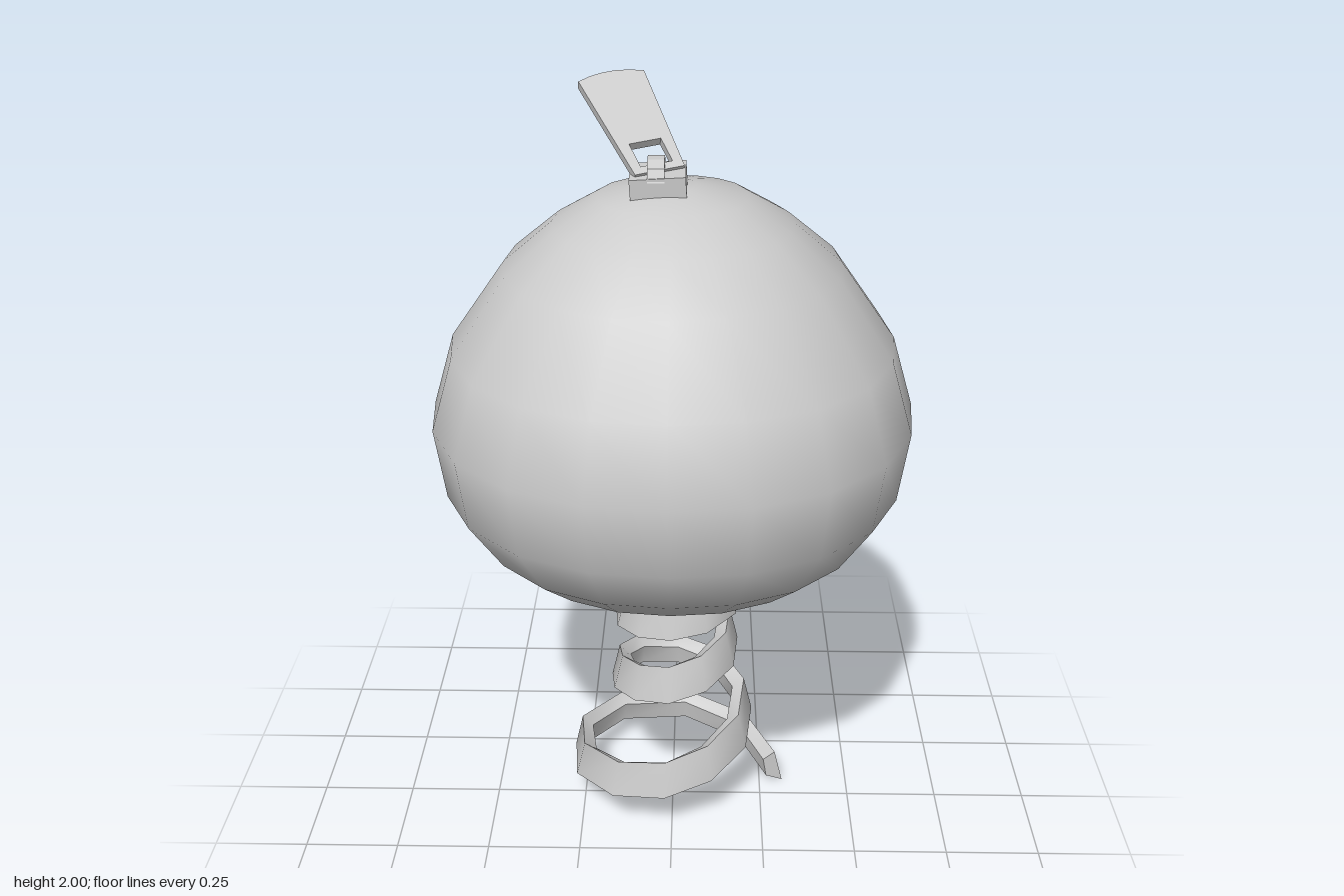
import * as THREE from 'three';
import { mergeVertices, toCreasedNormals } from 'three/addons/utils/BufferGeometryUtils.js';

const material = new THREE.MeshStandardMaterial({ color: 0xcccccc });

function add(parent, name, geometry, x = 0, y = 0, z = 0) {
  const mesh = new THREE.Mesh(geometry, material);
  mesh.name = name;
  mesh.position.set(x, y, z);
  parent.add(mesh);
  return mesh;
}

// Pumpkin-like ball: a lathe pushed towards a slightly square plan.
function bodyGeometry() {
  const profile = [
    [0, 0.74], [0.2, 0.765], [0.4, 0.835], [0.49, 0.91], [0.575, 1.04], [0.6, 1.22],
    [0.545, 1.4], [0.41, 1.59], [0.29, 1.69], [0.18, 1.755], [0.06, 1.78], [0, 1.782],
  ].map(([r, y]) => new THREE.Vector2(r, y));
  const lathe = new THREE.LatheGeometry(profile, 20);
  lathe.deleteAttribute('uv');
  lathe.deleteAttribute('normal');
  const geometry = mergeVertices(lathe, 1e-4);
  const p = geometry.attributes.position;
  const n = 2.2;
  for (let i = 0; i < p.count; i++) {
    const x = p.getX(i), z = p.getZ(i), r = Math.hypot(x, z);
    if (r < 1e-4) continue;
    const k = (Math.abs(x / r) ** n + Math.abs(z / r) ** n) ** (-1 / n);
    p.setXYZ(i, x * k, p.getY(i), z * k);
  }
  geometry.computeVertexNormals();
  return geometry;
}

// Widening ribbon coil, swept with a trapezoid section.
function springGeometry() {
  // [radius, height] at every quarter turn, starting at the back and going via right to front
  const quarters = [
    [0.13, 0.74], [0.17, 0.695], [0.135, 0.655], [0.145, 0.63], [0.18, 0.57], [0.17, 0.54], [0.15, 0.47],
    [0.155, 0.43], [0.215, 0.36], [0.215, 0.305], [0.2, 0.205], [0.265, 0.155], [0.345, 0.085], [0.31, 0.05],
  ];
  const curve = quarters.map(([r, y]) => new THREE.Vector2(r, y));
  const spline = new THREE.SplineCurve(curve);
  // section corners: [radial, vertical]
  const section = [[0.012, -0.05], [-0.012, 0.05], [-0.045, 0.028], [-0.035, -0.03]];
  const steps = 32, turns = (quarters.length - 1) * Math.PI / 2 - 0.2;
  const positions = [], index = [];
  for (let i = 0; i <= steps; i++) {
    const t = i / steps, angle = -Math.PI / 2 + t * turns;
    const { x: r, y } = spline.getPoint(t);
    for (const [dr, dy] of section) {
      positions.push((r + dr) * Math.cos(angle), y + dy, (r + dr) * Math.sin(angle));
    }
    if (i === steps) break;
    for (let j = 0; j < 4; j++) {
      const a = i * 4 + j, c = i * 4 + (j + 1) % 4;
      index.push(a, c, a + 4, c, c + 4, a + 4);
    }
  }
  const e = steps * 4;
  index.push(0, 2, 1, 0, 3, 2, e, e + 1, e + 2, e, e + 2, e + 3);
  const geometry = new THREE.BufferGeometry();
  geometry.setAttribute('position', new THREE.Float32BufferAttribute(positions, 3));
  geometry.setIndex(index);
  return toCreasedNormals(geometry, 0.8);
}

// Flat tapered tab with a window at the narrow end.
function tabGeometry() {
  const shape = new THREE.Shape();
  shape.moveTo(-0.062, 0);
  shape.lineTo(0.062, 0);
  shape.lineTo(0.085, 0.335);
  shape.quadraticCurveTo(0, 0.37, -0.085, 0.335);
  shape.closePath();
  shape.holes.push(new THREE.Path([
    [-0.04, 0.022], [-0.04, 0.1], [0.04, 0.1], [0.04, 0.022],
  ].map(([x, y]) => new THREE.Vector2(x, y))));
  return new THREE.ExtrudeGeometry(shape, { depth: 0.02, bevelEnabled: false, curveSegments: 5 })
    .translate(0, 0, -0.01);
}

export function createModel() {
  const model = new THREE.Group();
  model.name = 'springToy';

  add(model, 'body', bodyGeometry());
  add(model, 'spring', springGeometry());

  // Collar between ball and coil, with a wavy upper rim
  const collar = new THREE.CylinderGeometry(0.21, 0.2, 0.055, 12);
  const p = collar.attributes.position;
  for (let i = 0; i < p.count; i++) {
    const angle = Math.atan2(p.getZ(i), p.getX(i));
    if (p.getY(i) > 0) p.setY(i, p.getY(i) + 0.006 * Math.cos(angle * 6));
  }
  add(model, 'collar', toCreasedNormals(collar, 0.7), 0.015, 0.75, -0.02);

  // Pull on top: block, arch and tilted tab
  const pull = new THREE.Group();
  pull.name = 'pull';
  model.add(pull);
  const block = add(pull, 'pullBlock', new THREE.BoxGeometry(0.132, 0.05, 0.132), -0.033, 1.796, 0.024);
  block.rotation.set(0.05, 0, 0.06);

  const arch = new THREE.Shape();
  arch.moveTo(-0.062, 0);
  arch.lineTo(-0.05, 0.03);
  arch.lineTo(-0.02, 0.045);
  arch.lineTo(0.02, 0.045);
  arch.lineTo(0.05, 0.03);
  arch.lineTo(0.062, 0);
  arch.lineTo(0.035, 0);
  arch.lineTo(0.02, 0.022);
  arch.lineTo(-0.02, 0.022);
  arch.lineTo(-0.035, 0);
  arch.closePath();
  const archGeometry = new THREE.ExtrudeGeometry(arch, { depth: 0.04, bevelEnabled: false })
    .translate(0, 0, -0.02).rotateY(Math.PI / 2);
  add(pull, 'pullArch', archGeometry, -0.038, 1.808, 0.03);

  const tab = add(pull, 'pullTab', tabGeometry(), -0.03, 1.818, 0.042);
  const along = new THREE.Vector3(-0.13, 0.168, -0.277).normalize();
  const normal = new THREE.Vector3(0.94, 0.06, -0.34).cross(along).normalize();
  const across = new THREE.Vector3().crossVectors(along, normal);
  tab.quaternion.setFromRotationMatrix(new THREE.Matrix4().makeBasis(across, along, normal));

  return model;
}
